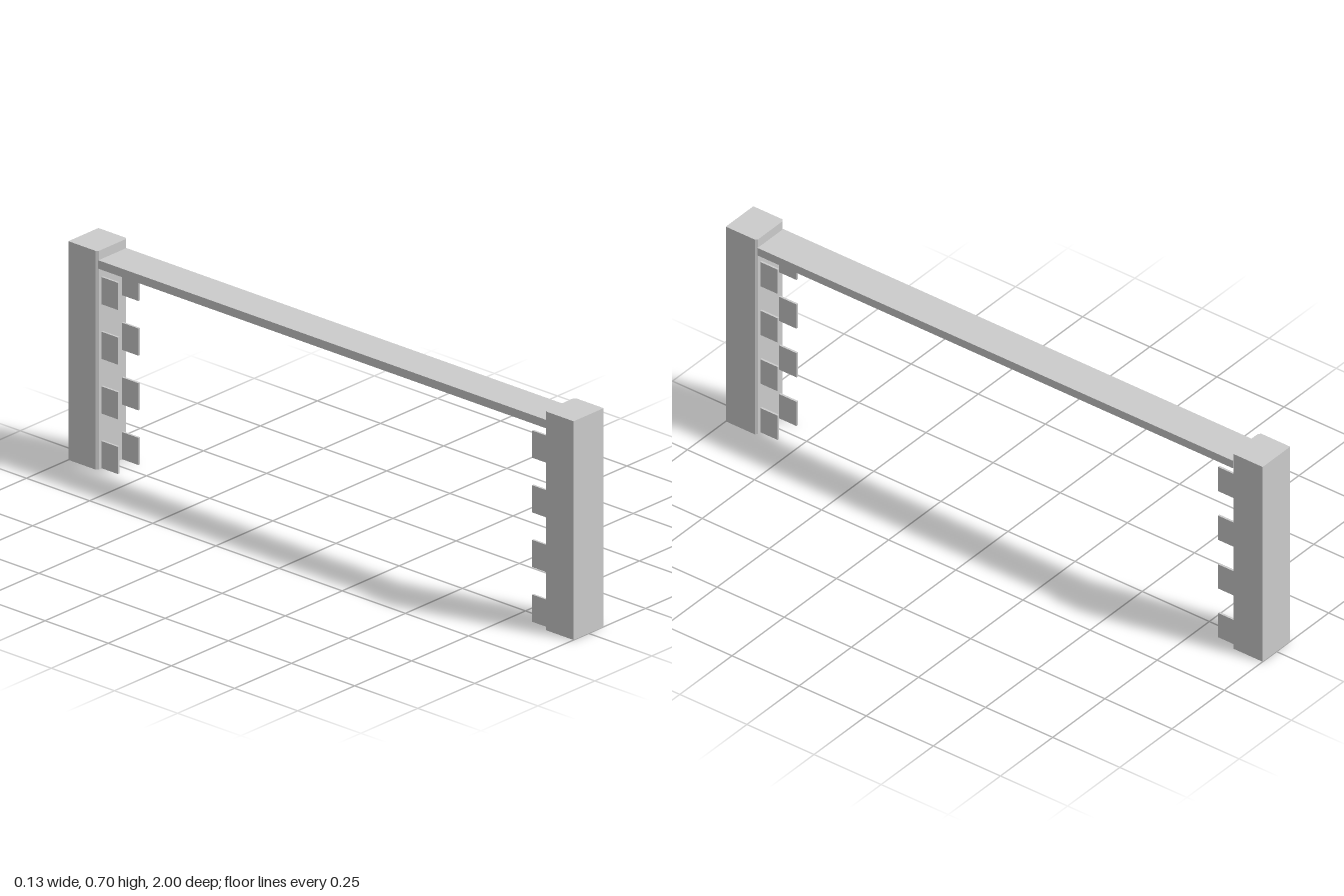
import * as THREE from 'three';

const material = new THREE.MeshStandardMaterial({ color: 0xcccccc, flatShading: true });

function box(name, w, h, d, x, y, z) {
  const mesh = new THREE.Mesh(new THREE.BoxGeometry(w, h, d), material);
  mesh.name = name;
  mesh.position.set(x, y, z);
  return mesh;
}

// Square post whose two inner vertical edges are slightly chamfered
function createPost() {
  const w = 0.066, inner = -0.885, outer = -1, c = 0.007;
  const section = new THREE.Shape([
    [-w, outer], [w, outer], [w, inner - c], [w - c, inner], [-w + c, inner], [-w, inner - c],
  ].map(([x, y]) => new THREE.Vector2(x, y)));
  const geometry = new THREE.ExtrudeGeometry(section, { depth: 0.7, bevelEnabled: false });
  geometry.rotateX(-Math.PI / 2);
  const post = new THREE.Mesh(geometry, material);
  post.name = 'post';
  return post;
}

// Upright with two columns of thin hook tabs on its inner face
function createUpright(name) {
  const upright = new THREE.Group();
  upright.name = name;
  upright.add(createPost());
  for (let row = 0; row < 4; row++) {
    for (const side of [-1, 1]) {
      upright.add(box('hookTab', 0.007, 0.087, 0.066, side * 0.045, 0.0445 + row * 0.175, 0.853));
    }
  }
  return upright;
}

export function createModel() {
  const model = new THREE.Group();
  model.name = 'frame';

  // Matching uprights at the two ends
  const front = createUpright('frontUpright');
  const back = createUpright('backUpright');
  back.rotation.y = Math.PI;
  model.add(front, back);

  // Flat crossbar joining the uprights near the top
  model.add(box('crossbar', 0.123, 0.027, 1.772, 0, 0.657, 0));
  return model;
}
